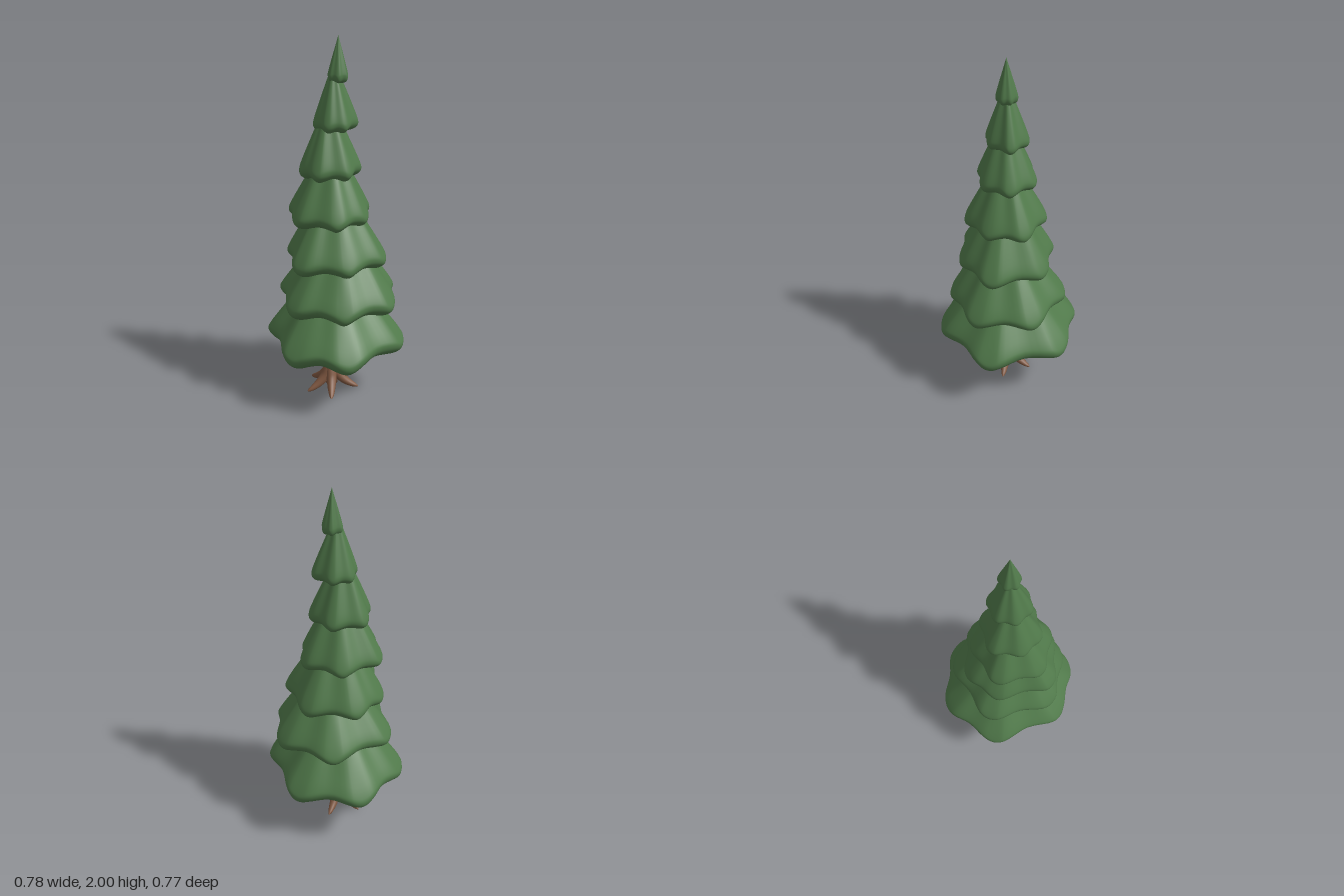
import * as THREE from 'three';
import { mergeVertices } from 'three/addons/utils/BufferGeometryUtils.js';

const TAU = Math.PI * 2;
const UP = new THREE.Vector3(0, 1, 0);

// Tiers: height of the lowest point, the widest ring and the tip,
// then the six lobe tips of the outline as x, z (front, right, back, left).
const TIERS = [
  { low: 0.24, wide: 0.345, tip: 0.84, lobes: [[-0.09, 0.377], [0.23, 0.325], [0.388, -0.06], [0.085, -0.383], [-0.28, -0.29], [-0.388, 0.05]] },
  { low: 0.51, wide: 0.595, tip: 1.07, lobes: [[-0.12, 0.31], [0.18, 0.28], [0.355, 0.03], [0.22, -0.27], [-0.11, -0.3], [-0.323, 0]] },
  { low: 0.76, wide: 0.835, tip: 1.3, lobes: [[-0.08, 0.295], [0.18, 0.21], [0.285, -0.03], [0.075, -0.25], [-0.2, -0.17], [-0.265, 0.03]] },
  { low: 1.01, wide: 1.075, tip: 1.5, lobes: [[-0.12, 0.235], [0.11, 0.21], [0.2, 0.03], [0.12, -0.16], [-0.11, -0.172], [-0.25, 0.03]] },
  { low: 1.26, wide: 1.32, tip: 1.7, lobes: [[-0.02, 0.19], [0.125, 0.09], [0.12, -0.07], [-0.03, -0.14], [-0.18, -0.03], [-0.14, 0.135]] },
  { low: 1.51, wide: 1.56, tip: 1.88, lobes: [[0.01, 0.125], [0.095, 0.068], [0.102, -0.065], [-0.02, -0.103], [-0.104, -0.03], [-0.085, 0.08]] },
  { low: 1.76, wide: 1.8, tip: 2.0, lobes: [[-0.01, 0.052], [0.042, 0.052], [0.073, 0.005], [0.052, -0.04], [0.003, -0.052], [-0.037, 0]] },
];

// Weld the seam and poles, then smooth the normals.
function smooth(geometry) {
  geometry.deleteAttribute('uv');
  geometry.deleteAttribute('normal');
  const welded = mergeVertices(geometry, 1e-5);
  welded.computeVertexNormals();
  return welded;
}

// A lathe whose round section is replaced by a lobed outline with a wavy hem.
function foliageTier({ low, wide, tip, lobes }) {
  const tips = lobes.map(([x, z]) => new THREE.Vector3(x, 0, z));
  const center = new THREE.Vector3();
  tips.forEach((p) => center.addScaledVector(p, 1 / tips.length));
  tips.forEach((p) => p.sub(center));

  // Each lobe: blunt tip, shoulder, valley, next shoulder
  const shoulder = (p, angle) => p.clone().applyAxisAngle(UP, angle).multiplyScalar(0.975);
  const outlinePoints = tips.flatMap((p, i) => {
    const next = tips[(i + 1) % tips.length];
    const valley = p.clone().add(next).multiplyScalar(0.505);
    return [p, shoulder(p, 0.17), valley, shoulder(next, -0.17)];
  });
  const outline = new THREE.CatmullRomCurve3(outlinePoints, true, 'centripetal');
  const meanRadius = tips.reduce((sum, p) => sum + p.length(), 0) / tips.length;

  const drop = wide - low, rise = tip - wide;
  const profile = new THREE.SplineCurve([
    [0, low], [0.4, low + 0.08 * drop], [0.78, low + 0.3 * drop], [0.95, low + 0.62 * drop],
    [1, wide], [0.955, wide + 0.08 * rise], [0.8, wide + 0.24 * rise],
    [0.56, wide + 0.47 * rise], [0.27, wide + 0.74 * rise], [0, tip],
  ].map(([s, y]) => new THREE.Vector2(s, y))).getPoints(36);
  profile[0].x = profile[36].x = 0;

  const segments = 96;
  const geometry = new THREE.LatheGeometry(profile, segments);
  const position = geometry.attributes.position;
  for (let i = 0; i <= segments; i++) {
    const u = (i % segments) / segments;
    const rim = outline.getPoint(u);
    const wave = 0.05 * meanRadius * Math.cos(lobes.length * u * TAU);
    profile.forEach((p, j) => {
      const sag = wave * (p.y < wide ? p.x : p.x ** 3);
      position.setXYZ(i * profile.length + j, center.x + rim.x * p.x, p.y - sag, center.z + rim.z * p.x);
    });
  }
  return smooth(geometry);
}

// A tube along a curve that narrows to a point.
function taperedRoot(curve, radius) {
  const steps = 18, sides = 12;
  const geometry = new THREE.TubeGeometry(curve, steps, radius, sides, false);
  const position = geometry.attributes.position;
  const v = new THREE.Vector3();
  for (let i = 0; i <= steps; i++) {
    const c = curve.getPointAt(i / steps);
    const scale = Math.max(0.08, Math.sqrt(1 - (i / steps) ** 1.3));
    for (let j = 0; j <= sides; j++) {
      const k = i * (sides + 1) + j;
      v.fromBufferAttribute(position, k).sub(c).multiplyScalar(scale).add(c);
      position.setXYZ(k, v.x, Math.max(0, v.y), v.z);
    }
  }
  return smooth(geometry);
}

export function createModel() {
  const tree = new THREE.Group();
  tree.name = 'firTree';
  const needles = new THREE.MeshStandardMaterial({ color: 0x517a4b });
  needles.name = 'needleGreen';
  const bark = new THREE.MeshStandardMaterial({ color: 0x805841 });
  bark.name = 'barkBrown';

  const add = (parent, name, geometry, material) => {
    const mesh = new THREE.Mesh(geometry, material);
    mesh.name = name;
    parent.add(mesh);
  };

  // Foliage, bottom to top
  const foliage = new THREE.Group();
  foliage.name = 'foliage';
  TIERS.forEach((tier, i) => add(foliage, `foliageTier${i + 1}`, foliageTier(tier), needles));
  tree.add(foliage);

  // Trunk
  const base = new THREE.Group();
  base.name = 'trunkAndRoots';
  base.position.set(-0.012, 0, 0.02);
  const trunkProfile = [[0, 0.03], [0.035, 0.03], [0.042, 0.1], [0.039, 0.18], [0.041, 0.32], [0, 0.32]]
    .map(([r, y]) => new THREE.Vector2(r, y));
  add(base, 'trunk', new THREE.LatheGeometry(trunkProfile, 24), bark);

  // Five roots spreading from the trunk
  [66, -18, -90, -163, 128].forEach((degrees, i) => {
    const a = THREE.MathUtils.degToRad(degrees);
    const path = [[0.016, 0.12], [0.042, 0.078], [0.08, 0.043], [0.12, 0.02], [0.153, 0.007]]
      .map(([r, y]) => new THREE.Vector3(r * Math.cos(a), y, r * Math.sin(a)));
    add(base, `root${i + 1}`, taperedRoot(new THREE.CatmullRomCurve3(path), 0.032), bark);
  });
  tree.add(base);
  return tree;
}
